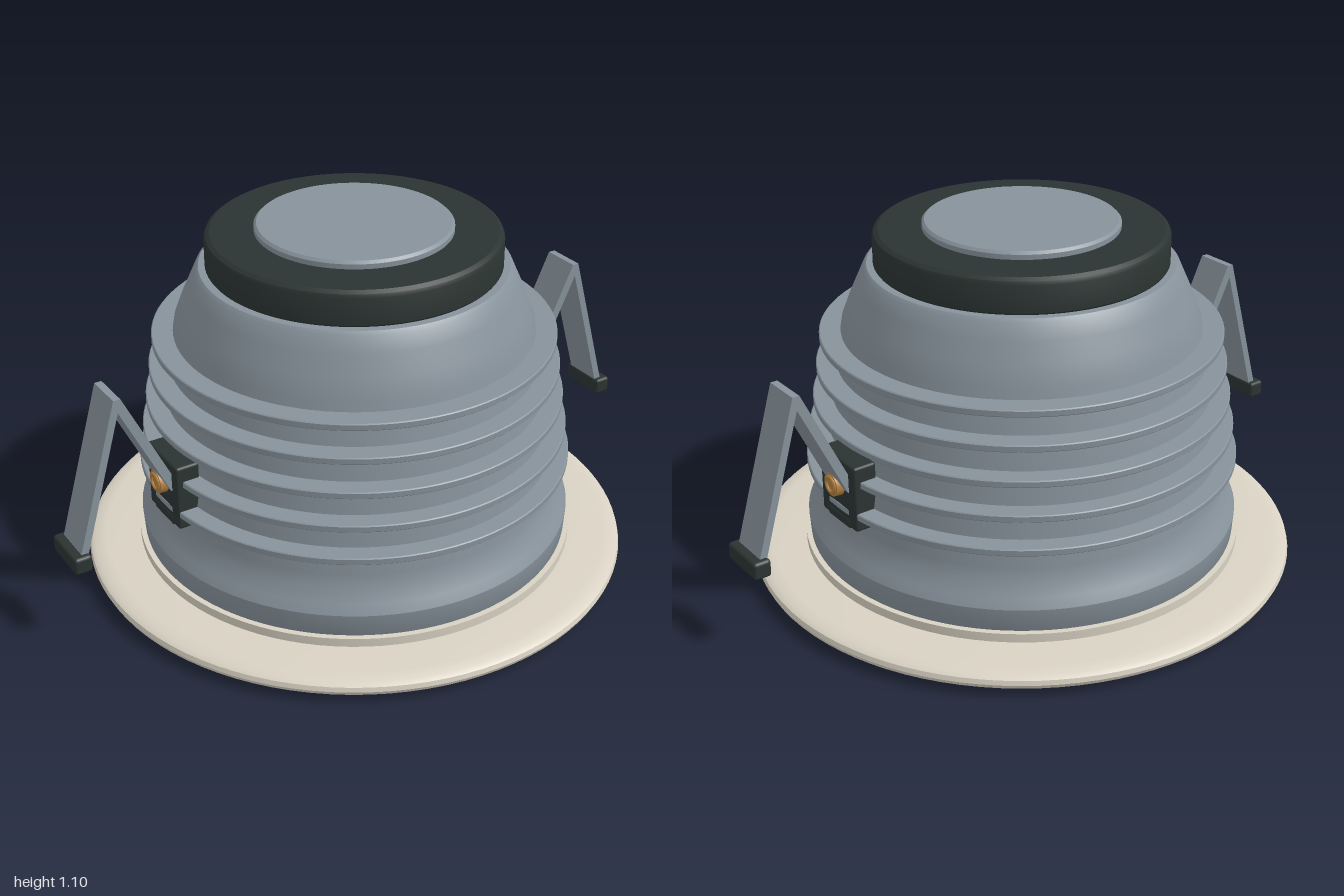
import * as THREE from 'three';
import { toCreasedNormals } from 'three/addons/utils/BufferGeometryUtils.js';
import { RoundedBoxGeometry } from 'three/addons/geometries/RoundedBoxGeometry.js';

const material = (name, color) => {
  const m = new THREE.MeshStandardMaterial({ color });
  m.name = name;
  return m;
};

export function createModel() {
  const metal = material('grey metal', 0x87929b);
  const black = material('black plastic', 0x2b3432);
  const cream = material('cream enamel', 0xd8d1c3);
  const gold = material('gold reflector', 0xd2a668);
  const brass = material('brass', 0xb5823f);

  const model = new THREE.Group();
  model.name = 'recessedDownlight';

  const add = (parent, name, geometry, mat, x = 0, y = 0, z = 0) => {
    const mesh = new THREE.Mesh(geometry, mat);
    mesh.name = name;
    mesh.position.set(x, y, z);
    parent.add(mesh);
    return mesh;
  };
  // Profiles run upward on outer faces and downward on inner faces
  const lathe = (points) => toCreasedNormals(
    new THREE.LatheGeometry(points.map(([r, y]) => new THREE.Vector2(r, y)), 96), 0.5);

  // Trim flange with its short collar
  add(model, 'trimRing', lathe([
    [0.615, 0.015], [0.63, 0.003], [0.68, 0], [0.78, 0.01], [0.835, 0.019], [0.85, 0.027],
    [0.856, 0.04], [0.852, 0.054], [0.838, 0.063], [0.80, 0.066], [0.692, 0.07],
    [0.692, 0.098], [0.615, 0.098], [0.615, 0.015],
  ]), cream);

  // Tapered housing
  add(model, 'housing', lathe([
    [0.66, 0.07], [0.676, 0.1], [0.68, 0.17], [0.664, 0.2], [0.638, 0.24], [0.632, 0.28],
    [0.59, 0.55], [0.545, 0.8], [0.522, 0.86], [0.495, 0.92], [0.475, 0.965],
    [0.465, 0.975], [0, 0.975],
  ]), metal);

  // Cooling fins
  const fins = [[0.355, 0.675], [0.455, 0.66], [0.556, 0.645], [0.658, 0.63], [0.758, 0.616]];
  fins.forEach(([y, r], i) => {
    const h = 0.011;
    add(model, `coolingFin${i + 1}`, lathe([
      [0.5, -h], [r - 0.003, -h], [r, -h + 0.003], [r, h - 0.003], [r - 0.003, h], [0.5, h],
    ]), metal, 0, y);
  });

  // Top cap and cover disc
  add(model, 'topCap', lathe([
    [0.438, 0.97], [0.445, 0.98], [0.445, 1.062], [0.44, 1.073], [0.428, 1.081], [0, 1.081],
  ]), black);
  add(model, 'coverDisc', lathe([
    [0.297, 1.08], [0.297, 1.096], [0.289, 1.104], [0, 1.104],
  ]), metal);

  // Stepped baffle inside the opening
  const steps = 7;
  const baffle = [];
  for (let i = 0; i <= steps; i++) {
    const t = i / steps;
    const r = 0.31 + 0.29 * t, y = 0.43 - 0.39 * t;
    baffle.push([r, y], [r + 0.012, y - 0.035]);
  }
  baffle.push([0.62, 0.004]);
  add(model, 'baffle', lathe(baffle), black);

  // Reflector cup above the baffle
  add(model, 'reflector', lathe([
    [0, 0.62], [0.2, 0.62], [0.25, 0.57], [0.285, 0.5], [0.31, 0.43],
  ]), gold);

  // Spring clip, built on the +x side
  const strapShape = new THREE.Shape([
    [0.655, 0.425], [0.675, 0.425], [0.822, 0.735], [0.955, 0.285], [0.977, 0.291],
    [0.833, 0.777], [0.811, 0.777], [0.655, 0.448],
  ].map(([x, y]) => new THREE.Vector2(x, y)));
  const strapGeometry = new THREE.ExtrudeGeometry(strapShape, { depth: 0.124, bevelEnabled: false });
  strapGeometry.translate(0, 0, -0.062);

  for (const side of ['left', 'right']) {
    const clip = new THREE.Group();
    clip.name = `${side}SpringClip`;
    add(clip, 'bracket', new RoundedBoxGeometry(0.075, 0.21, 0.19, 2, 0.008), black, 0.635, 0.41, 0);
    add(clip, 'bracketFoot', new RoundedBoxGeometry(0.05, 0.03, 0.12, 2, 0.006), black, 0.65, 0.318, 0);
    add(clip, 'springStrap', strapGeometry, metal);
    add(clip, 'strapTip', new RoundedBoxGeometry(0.055, 0.055, 0.16, 2, 0.01), black, 0.972, 0.284, 0);
    add(clip, 'screwHead', new THREE.CylinderGeometry(0.036, 0.038, 0.024, 24), brass, 0.684, 0.432, 0)
      .rotation.z = -Math.PI / 2;
    add(clip, 'screwRim', new THREE.TorusGeometry(0.024, 0.007, 8, 24), brass, 0.695, 0.432, 0)
      .rotation.y = Math.PI / 2;
    if (side === 'right') clip.rotation.y = Math.PI;
    model.add(clip);
  }
  return model;
}
